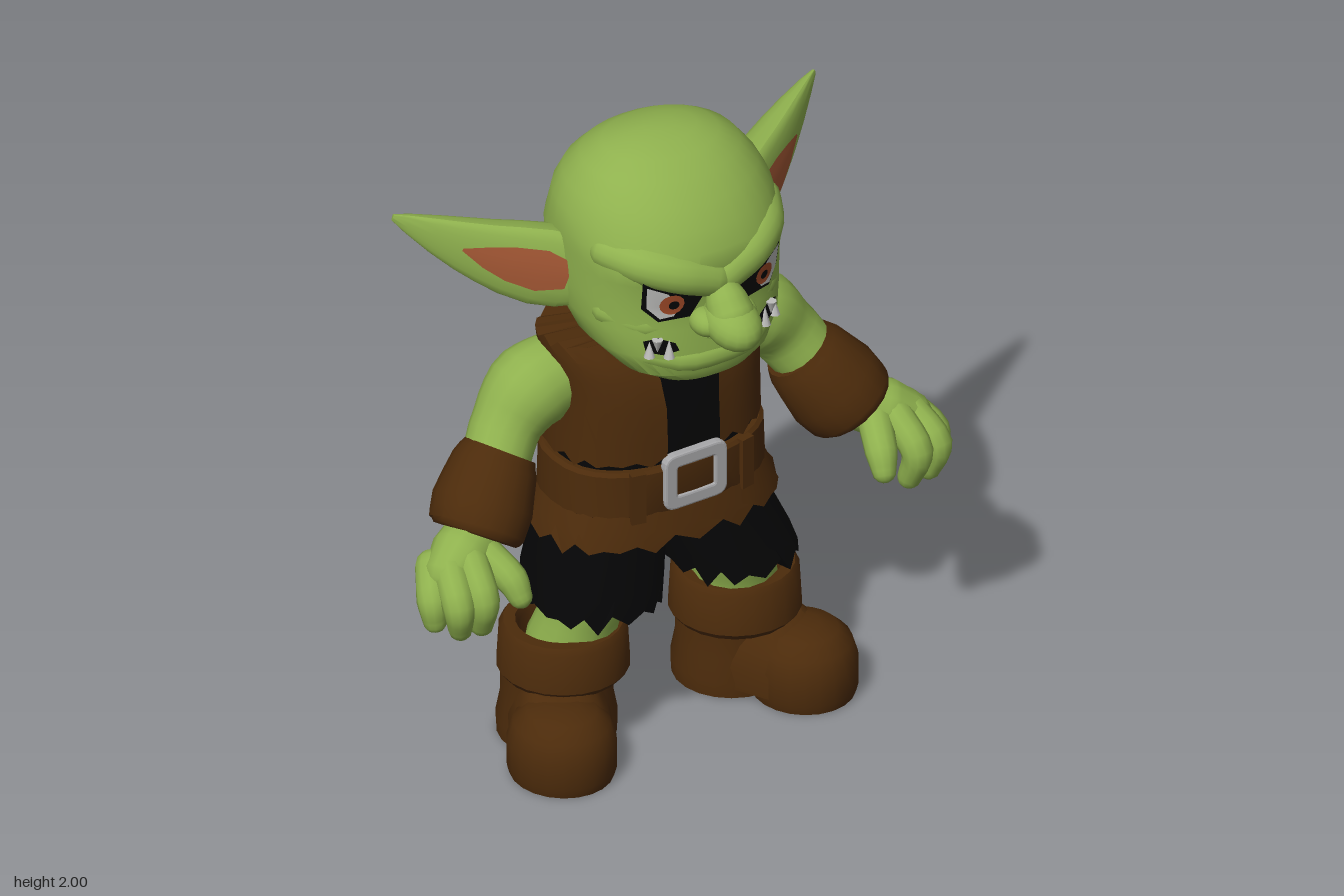
import * as THREE from 'three';
import { toCreasedNormals } from 'three/addons/utils/BufferGeometryUtils.js';

const V = (x, y, z) => new THREE.Vector3(x, y, z);
const AXIS = -0.015; // mirror plane of the figure

// Skin over rows of points; faces are turned to point away from the origin
function skin(rows, { closed = true, caps = true, origin = null, crease = 0.6 } = {}) {
  const n = rows[0].length, pts = rows.flat().map((p) => p.clone()), idx = [];
  for (let r = 0; r < rows.length - 1; r++)
    for (let i = 0; i < (closed ? n : n - 1); i++) {
      const a = r * n + i, b = r * n + (i + 1) % n;
      idx.push(a, a + n, b, b, a + n, b + n);
    }
  const mid = (list) => list.reduce((s, p) => s.add(p), V(0, 0, 0)).divideScalar(list.length);
  if (caps && closed) [0, rows.length - 1].forEach((r) => {
    const c = pts.push(mid(rows[r])) - 1;
    for (let i = 0; i < n; i++) {
      const a = r * n + i, b = r * n + (i + 1) % n;
      if (r) idx.push(a, c, b); else idx.push(a, b, c);
    }
  });
  const o = origin || mid(pts);
  let vol = 0;
  for (let i = 0; i < idx.length; i += 3) {
    const [a, b, c] = [0, 1, 2].map((k) => pts[idx[i + k]].clone().sub(o));
    vol += a.dot(b.cross(c));
  }
  if (vol < 0) idx.reverse();
  const g = new THREE.BufferGeometry().setFromPoints(pts);
  g.setIndex(idx);
  return toCreasedNormals(g, crease);
}

// Level squarish ring: half width, front z, back z; jag makes a ragged edge, gap opens the front
function ring(y, rx, zf, zb, { cx = 0, p = 2.4, n = 32, jag = 0, gap = 0 } = {}) {
  const out = [], pow = (v) => Math.sign(v) * Math.abs(v) ** (2 / p);
  for (let i = 0; i < n; i++) {
    const a = gap ? gap + (2 * Math.PI - 2 * gap) * i / (n - 1) : 2 * Math.PI * i / n;
    const rag = jag * ((i % 2 ? 0.7 : -0.6) + 0.5 * Math.sin(i * 2.3));
    out.push(V(cx + rx * pow(Math.sin(a)), y + rag, (zf + zb) / 2 + (zf - zb) / 2 * pow(Math.cos(a))));
  }
  return out;
}

// Round limb through [x, y, z, radius] points
function limb(list, { n = 12, steps = 10, round = true, crease = 0.8 } = {}) {
  const curve = new THREE.CatmullRomCurve3(list.map((p) => V(p[0], p[1], p[2])));
  const chord = curve.getPoint(1).sub(curve.getPoint(0)).toArray().map(Math.abs);
  const least = chord.indexOf(Math.min(...chord));
  const ref = V(...[0, 1, 2].map((k) => +(k === least)));
  const rows = [];
  const add = (t, k, push) => {
    const f = t * (list.length - 1), i = Math.min(Math.floor(f), list.length - 2);
    const r = THREE.MathUtils.lerp(list[i][3], list[i + 1][3], f - i);
    const d = curve.getTangent(t), u = ref.clone().cross(d).normalize(), w = d.clone().cross(u);
    const c = curve.getPoint(t).addScaledVector(d, push * r);
    rows.push(Array.from({ length: n }, (_, j) => {
      const a = 2 * Math.PI * j / n;
      return c.clone().addScaledVector(u, r * k * Math.cos(a)).addScaledVector(w, r * k * Math.sin(a));
    }));
  };
  const ends = round ? [1.35, 0.9, 0.45] : [];
  ends.forEach((a) => add(0, Math.cos(a), -Math.sin(a)));
  for (let i = 0; i <= steps; i++) add(i / steps, 1, 0);
  ends.reverse().forEach((a) => add(1, Math.cos(a), Math.sin(a)));
  return skin(rows, { crease });
}

// Head levels: y, half width, front z, back z; the skull is rounder than the face
const SKULL = { p: 2.12 };
const HEAD = [[1.305, .12, .2, .02], [1.315, .16, .225, -.01], [1.35, .235, .242, -.11], [1.42, .295, .243, -.25],
  [1.5, .32, .232, -.325], [1.58, .328, .23, -.365], [1.66, .33, .245, -.387], [1.7, .33, .258, -.392], [1.75, .33, .248, -.393, SKULL],
  [1.81, .318, .217, -.376, SKULL], [1.87, .288, .175, -.345, SKULL], [1.93, .24, .115, -.287, SKULL],
  [1.97, .178, .055, -.225, SKULL], [1.99, .115, -.005, -.165, SKULL], [2, .05, -.05, -.12, SKULL]];

function headZ(x, y) {
  const i = Math.max(0, HEAD.findIndex((h) => h[0] > y) - 1), a = HEAD[i], b = HEAD[i + 1];
  const [rx, zf, zb] = [1, 2, 3].map((k) => THREE.MathUtils.lerp(a[k], b[k], (y - a[0]) / (b[0] - a[0])));
  return (zf + zb) / 2 + (zf - zb) / 2 * (1 - Math.min(1, Math.abs(x) / rx) ** 2.4) ** (1 / 2.4);
}

// Thin painted patch that follows the face
function patch(outline, lift) {
  const cx = outline.reduce((s, p) => s + p[0], 0) / outline.length;
  const cy = outline.reduce((s, p) => s + p[1], 0) / outline.length;
  const rows = [0.01, 0.35, 0.7, 1].map((s) => outline.map(([px, py]) => {
    const x = cx + (px - cx) * s, y = cy + (py - cy) * s;
    return V(x, y, headZ(x, y) + lift);
  }));
  return skin(rows, { caps: false, origin: V(0, 1.6, -0.06) });
}
const disc = (x, y, r) => Array.from({ length: 14 }, (_, i) => [x + r * Math.cos(i * Math.PI / 7), y + r * Math.sin(i * Math.PI / 7)]);

function flipX(geo) {
  const g = geo.index ? geo.toNonIndexed() : geo.clone();
  g.scale(-1, 1, 1);
  for (const at of Object.values(g.attributes)) {
    const s = at.itemSize, arr = at.array;
    for (let i = 0; i < at.count; i += 3)
      for (let k = 0; k < s; k++) {
        const a = (i + 1) * s + k, b = (i + 2) * s + k;
        [arr[a], arr[b]] = [arr[b], arr[a]];
      }
  }
  return g;
}

export function createModel() {
  const root = new THREE.Group();
  const mat = (name, color, side = THREE.FrontSide) => Object.assign(new THREE.MeshStandardMaterial({ color, side }), { name });
  const D = THREE.DoubleSide;
  const green = mat('green skin', 0x8fb14e), brown = mat('brown leather', 0x4c2b0b, D), black = mat('black cloth', 0x050506, D);
  const grey = mat('grey metal', 0xa8a8aa), flesh = mat('inner ear', 0xa35734, D), white = mat('eye and tooth white', 0xbcbcba, D);
  const amber = mat('amber iris', 0xa04a28, D);
  const add = (name, geo, m) => {
    const mesh = new THREE.Mesh(geo.translate(AXIS, 0, 0), m);
    mesh.name = name;
    root.add(mesh);
  };
  const pair = (name, geo, m) => {
    add('right' + name, flipX(geo), m);
    add('left' + name, geo, m);
  };
  const ball = (x, y, z, a, b, c) => new THREE.SphereGeometry(1, 18, 12).scale(a, b, c).translate(x, y, z);

  // Head, nose, lips
  add('head', skin(HEAD.map((h) => ring(...h))), green);
  add('noseBridge', limb([[0, 1.625, .235, .045], [0, 1.59, .265, .062], [0, 1.55, .295, .07]], { n: 16 }), green);
  add('noseTip', ball(0, 0, 0, .082, .07, .105).rotateX(.3).translate(0, 1.53, .3), green);
  pair('Nostril', ball(.06, 1.525, .25, .045, .042, .06), green);
  add('upperLip', ball(0, 1.455, .18, .16, .05, .06), green);
  add('lowerLip', limb([[-.19, 1.415, .155, .04], [-.1, 1.39, .2, .045], [0, 1.385, .208, .045], [.1, 1.39, .2, .045], [.19, 1.415, .155, .04]]), green);

  // Scowling brows, cheeks, eyes and mouth corners
  pair('Brow', limb([[.02, 1.65, .22, .06], [.12, 1.688, .2, .065], [.2, 1.715, .145, .066], [.265, 1.73, .05, .055]], { n: 16 }), green);
  pair('Cheek', limb([[.1, 1.512, .165, .05], [.19, 1.512, .135, .055], [.265, 1.535, .05, .05]]), green);
  pair('EyeSocket', patch([[.06, 1.61], [.13, 1.65], [.235, 1.68], [.232, 1.585], [.19, 1.54], [.1, 1.545]], .006), black);
  pair('EyeWhite', patch([[.135, 1.585], [.17, 1.64], [.226, 1.665], [.222, 1.59], [.188, 1.552], [.15, 1.558]], .011), white);
  pair('Iris', patch(disc(.158, 1.602, .035), .015), amber);
  pair('Pupil', patch(disc(.155, 1.602, .015), .019), black);
  pair('MouthCorner', patch([[.135, 1.44], [.145, 1.465], [.19, 1.485], [.228, 1.475], [.222, 1.44], [.18, 1.43]], .005), black);
  [[.165, 1.452, .03, 1], [.195, 1.462, .022, -1], [.215, 1.452, .026, 1]].forEach(([x, y, h, s], i) => {
    const g = new THREE.ConeGeometry(.017, 2 * h, 8);
    if (s < 0) g.rotateX(Math.PI);
    pair('Tooth' + i, g.translate(x, y, headZ(x, y) + .008), white);
  });

  // Ears: leaf-shaped cones, shallow in front with a coloured inner face
  const from = V(.25, 1.585, -.055), tip = V(.725, 1.77, -.385), along = tip.clone().sub(from);
  const out = V(.5, 0, .86), up = out.clone().cross(along).normalize();
  const EAR = [[0, .1, .13], [.12, .125, .145], [.25, .13, .142], [.4, .117, .128], [.52, .1, .112], [.64, .082, .095], [.78, .058, .068], [.92, .03, .035], [1, .01, .012]];
  const earPoint = (t, h, s, depth) => from.clone().addScaledVector(along, t)
    .addScaledVector(up, h * s - .03 * Math.sin(Math.PI * t)).addScaledVector(out, depth);
  pair('Ear', skin(EAR.map(([t, h, d]) => Array.from({ length: 18 }, (_, i) => {
    const a = i * Math.PI / 9, s = Math.sin(a);
    return earPoint(t, h, Math.cos(a), (s < 0 ? 1 : .22) * d * s);
  }))), green);
  pair('InnerEar', skin(EAR.slice(1, 6).map(([t, h, d], i) => [-1, -.5, 0, .5, 1].map((k) => {
    const s = .06 + k * [.36, .54, .5, .36, .05][i];
    return earPoint(t, h, s, .22 * d * Math.sqrt(1 - s * s) + .008);
  })), { closed: false, origin: V(0, 1.6, -.3) }), flesh);

  // Neck, shirt and open ragged vest
  add('neck', skin([ring(1.2, .2, .06, -.28), ring(1.26, .17, .05, -.27), ring(1.31, .13, .03, -.24), ring(1.42, .13, .04, -.23)]), green);
  add('shirt', skin([ring(.75, .31, .075, -.34), ring(1, .315, .08, -.35), ring(1.15, .31, .075, -.35), ring(1.24, .28, .062, -.33)]), black);
  const vestRing = (y, rx, zf, zb, gap, jag = 0) => ring(y, rx, zf, zb, { gap, jag, n: 40 });
  add('vest', skin([vestRing(.978, .332, .1, -.375, .21, .014), vestRing(1.05, .33, .1, -.375, .21),
    vestRing(1.15, .33, .095, -.372, .21), vestRing(1.25, .335, .08, -.362, .24),
    vestRing(1.31, .348, .045, -.345, .34), vestRing(1.352, .355, 0, -.325, .42, .012),
    vestRing(1.345, .16, -.01, -.25, .5)], { closed: false, crease: .4 }), brown);

  // Belt, ragged skirt and buckle
  add('belt', skin([ring(.8, .335, .1, -.37), ring(.81, .345, .106, -.376), ring(.945, .34, .104, -.374), ring(.955, .328, .095, -.365)]), brown);
  add('skirt', skin([ring(.71, .385, .128, -.388, { n: 40, jag: .022 }), ring(.76, .367, .12, -.382, { n: 40 }), ring(.83, .335, .1, -.365, { n: 40 })], { caps: false, crease: .4 }), brown);
  pair('BeltLoop', new THREE.BoxGeometry(.045, .165, .025).rotateY(.2).translate(.185, .875, .083), brown);
  const box = (s, w, h, r) => s.moveTo(-w + r, -h).lineTo(w - r, -h).quadraticCurveTo(w, -h, w, -h + r).lineTo(w, h - r)
    .quadraticCurveTo(w, h, w - r, h).lineTo(-w + r, h).quadraticCurveTo(-w, h, -w, h - r).lineTo(-w, -h + r).quadraticCurveTo(-w, -h, -w + r, -h);
  const frame = box(new THREE.Shape(), .1, .085, .03);
  frame.holes.push(box(new THREE.Path(), .07, .055, .012));
  add('buckle', new THREE.ExtrudeGeometry(frame, { depth: .018, bevelSize: .007, bevelThickness: .006, bevelSegments: 2, curveSegments: 4 }).translate(0, .902, .088), grey);

  // Shorts and bare knees
  const leg = (y, cx, rx, zf, zb, jag = 0) => ring(y, rx, zf, zb, { cx, n: 28, jag });
  pair('ShortsLeg', skin([leg(.49, .235, .192, .115, -.3, .026), leg(.56, .217, .192, .1, -.32), leg(.66, .185, .182, .07, -.335), leg(.79, .155, .155, .045, -.33)], { crease: .4 }), black);
  pair('Leg', limb([[.235, .62, -.1, .13], [.25, .5, -.09, .125], [.265, .42, -.1, .118], [.28, .3, -.13, .135]], { n: 14 }), green);

  // Boots: cuff, shaft, instep and domed toe turned outward
  const lathe = (pts) => toCreasedNormals(new THREE.LatheGeometry(pts.map((p) => new THREE.Vector2(...p)), 22), .6);
  pair('BootCuff', lathe([[.13, .36], [.13, .225], [.18, .22], [.195, .24], [.188, .365], [.175, .385], [.14, .385], [.13, .36]]).translate(.295, 0, -.143), brown);
  pair('BootShaft', lathe([[0, 0], [.175, 0], [.178, .05], [.165, .12], [.165, .25], [0, .25]]).translate(.3, 0, -.17), brown);
  pair('Instep', skin([[.03, .15, 1], [.1, .15, 1], [.17, .13, .85], [.23, .1, .5]].map(([y, r, k]) =>
    Array.from({ length: 20 }, (_, i) => {
      const a = i * Math.PI / 10, t = Math.cos(a - 1.05) > 0 ? k : 0;
      return V(.31 + .09 * t + r * Math.cos(a), y, -.15 + .17 * t + r * Math.sin(a));
    }))), brown);
  pair('BootToe', lathe([[0, 0], [.15, 0], [.158, .03], [.158, .11], [.14, .17], [.1, .208], [.05, .222], [0, .225]]).scale(1, 1, 1.06).translate(.415, 0, .035), brown);

  // Arms, wrist cuffs and hands
  pair('Arm', limb([[.3, 1.21, -.18, .12], [.39, 1.18, -.18, .13], [.47, 1.1, -.17, .105], [.54, 1, -.13, .1], [.68, .85, -.04, .075]], { n: 16, steps: 14 }), green);
  pair('WristCuff', limb([[.51, 1.03, -.145, .108], [.535, .995, -.135, .128], [.6, .9, -.1, .15], [.64, .845, -.07, .143], [.65, .83, -.065, .125]], { n: 18, steps: 8, round: false }), brown);
  pair('Palm', limb([[.66, .845, -.05, .085], [.73, .815, -.015, .092], [.785, .79, .01, .075]], { n: 14 }), green);
  [[[.67, .82, .02], [.635, .765, .11], [.625, .72, .14]],
    [[.73, .82, .04], [.745, .74, .13], [.735, .645, .105]],
    [[.79, .81, .02], [.82, .735, .115], [.805, .65, .1]],
    [[.81, .79, -.04], [.86, .73, .04], [.86, .67, .05]]].forEach((f, i) =>
    pair(i ? 'Finger' + i : 'Thumb', limb(f.map((p, k) => [...p, [.052, .048, .036][k]]), { n: 12, steps: 8 }), green));

  return root;
}
